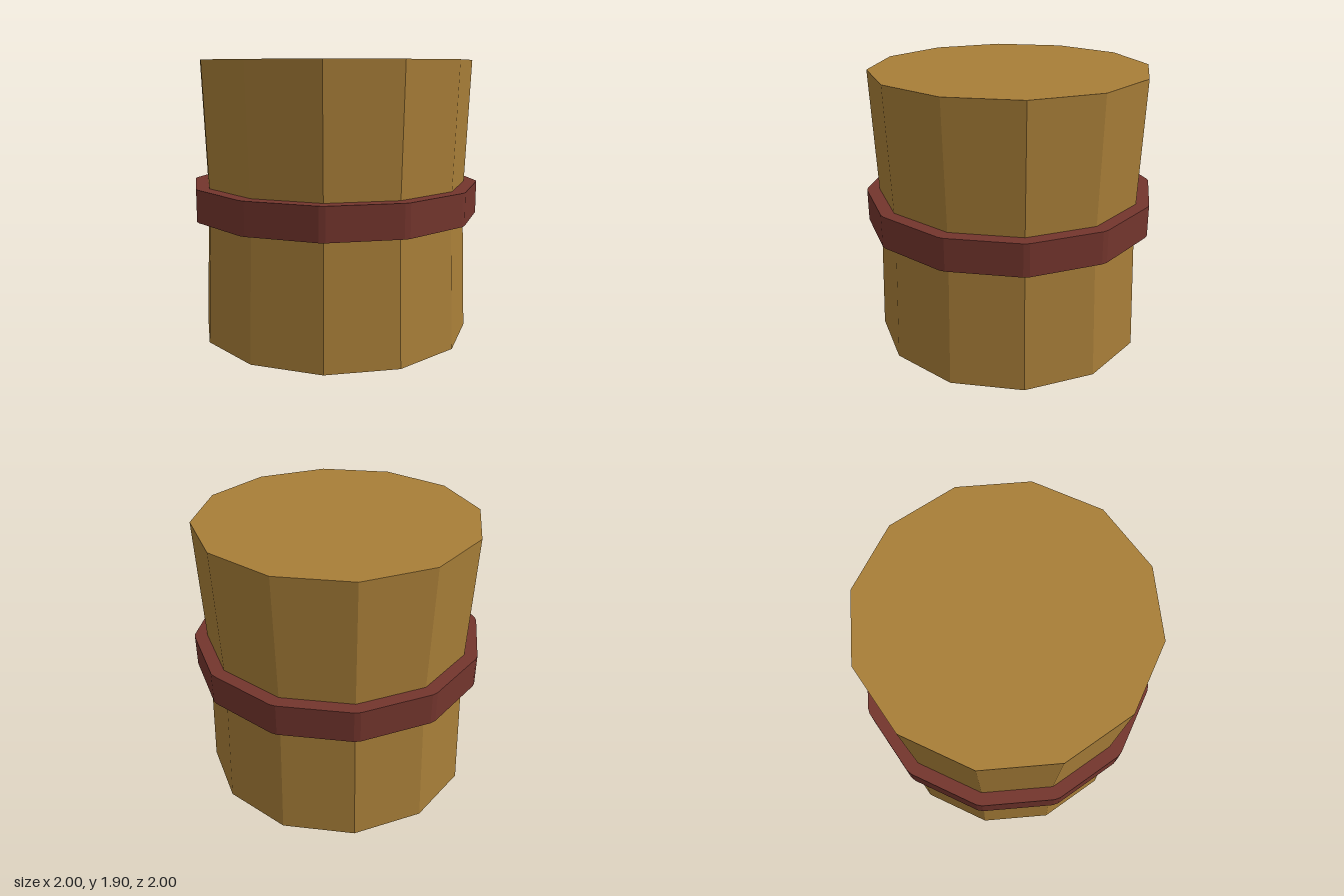
import * as THREE from 'three';

const SIDES = 12;

// Closed outline through points at the given angles on a circle
function ring(radius, angles) {
  return angles.map(a => new THREE.Vector2(radius * Math.cos(a), radius * Math.sin(a)));
}

export function createModel() {
  const group = new THREE.Group();
  const wood = new THREE.MeshStandardMaterial({ color: 0xa87e38, flatShading: true });
  const red = new THREE.MeshStandardMaterial({ color: 0x73352d, flatShading: true });

  // Twelve-sided drum body, slightly pinched at the waist
  const bodyGeometry = new THREE.LatheGeometry([
    new THREE.Vector2(0, 0),
    new THREE.Vector2(0.947, 0),
    new THREE.Vector2(0.911, 0.95),
    new THREE.Vector2(0.947, 1.9),
    new THREE.Vector2(0, 1.9),
  ], SIDES);
  const body = new THREE.Mesh(bodyGeometry, wood);
  body.name = 'body';
  group.add(body);

  // Band around the waist, its twelve corners narrowly chamfered
  const corners = Array.from({ length: SIDES }, (_, i) => i * 2 * Math.PI / SIDES);
  const chamfer = 0.02;
  const outline = new THREE.Shape(ring(1, corners.flatMap(a => [a - chamfer, a + chamfer])));
  outline.holes.push(new THREE.Path(ring(0.9, corners).reverse()));
  const bandGeometry = new THREE.ExtrudeGeometry(outline, { depth: 0.22, bevelEnabled: false });
  bandGeometry.rotateX(-Math.PI / 2);
  const band = new THREE.Mesh(bandGeometry, red);
  band.name = 'band';
  band.position.y = 0.843;
  group.add(band);

  return group;
}
